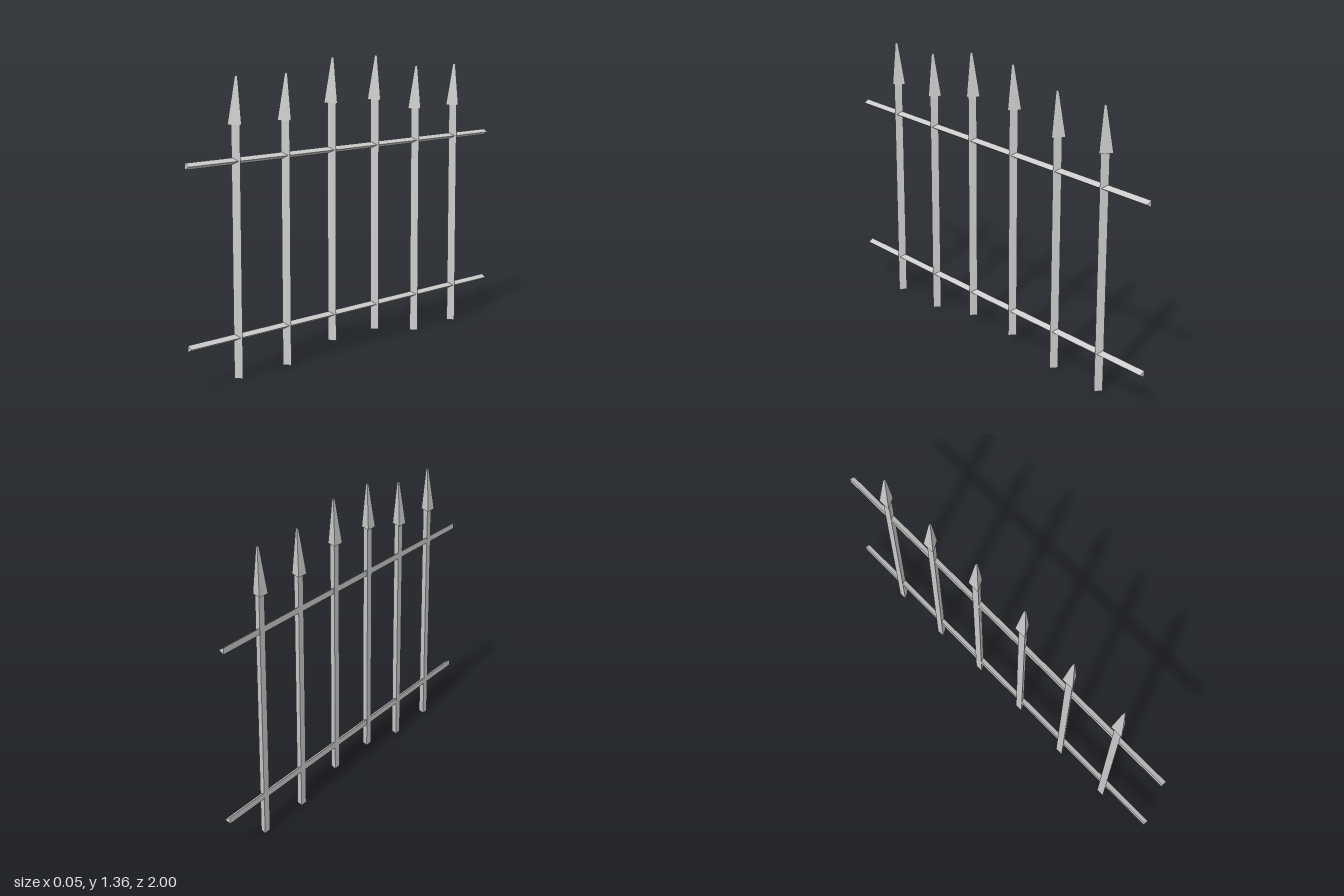
import * as THREE from 'three';

const material = new THREE.MeshStandardMaterial({ color: 0xcccccc, flatShading: true });

// Three-sided bar with an edge towards +x, its width centred on x = 0 at every height
function triangularBar(topRadius, bottomRadius, height) {
  const geometry = new THREE.CylinderGeometry(topRadius, bottomRadius, height, 3, 1, false, Math.PI / 2);
  geometry.translate(0, height / 2, 0);
  const p = geometry.attributes.position;
  for (let i = 0; i < p.count; i++) {
    const radius = THREE.MathUtils.lerp(bottomRadius, topRadius, p.getY(i) / height);
    p.setX(i, p.getX(i) - radius / 4);
  }
  const flat = geometry.toNonIndexed();
  flat.computeVertexNormals();
  return flat;
}

function addMesh(parent, geometry, name, x, y, z) {
  const mesh = new THREE.Mesh(geometry, material);
  mesh.name = name;
  mesh.position.set(x, y, z);
  parent.add(mesh);
  return mesh;
}

export function createModel() {
  const fence = new THREE.Group();
  fence.name = 'fence';

  const headBase = 1.093;
  const shaftGeometry = triangularBar(0.0225, 0.0225, headBase);
  const headGeometry = triangularBar(0.007, 0.036, 0.205);
  const railGeometry = triangularBar(0.0167, 0.0167, 2);
  railGeometry.rotateX(Math.PI / 2);

  // Six pickets, the middle two raised
  for (let i = 0; i < 6; i++) {
    const picket = new THREE.Group();
    picket.name = 'picket';
    const raised = i === 2 || i === 3;
    picket.position.set(0, raised ? 0.058 : 0, 0.722 - i * 0.291);
    addMesh(picket, shaftGeometry, 'shaft', 0, 0, 0);
    addMesh(picket, headGeometry, 'spearHead', 0, headBase, 0);
    fence.add(picket);
  }

  // Two long rails through the pickets
  addMesh(fence, railGeometry, 'lowerRail', -0.002, 0.18, -1);
  addMesh(fence, railGeometry, 'upperRail', -0.002, 0.94, -1);

  return fence;
}
